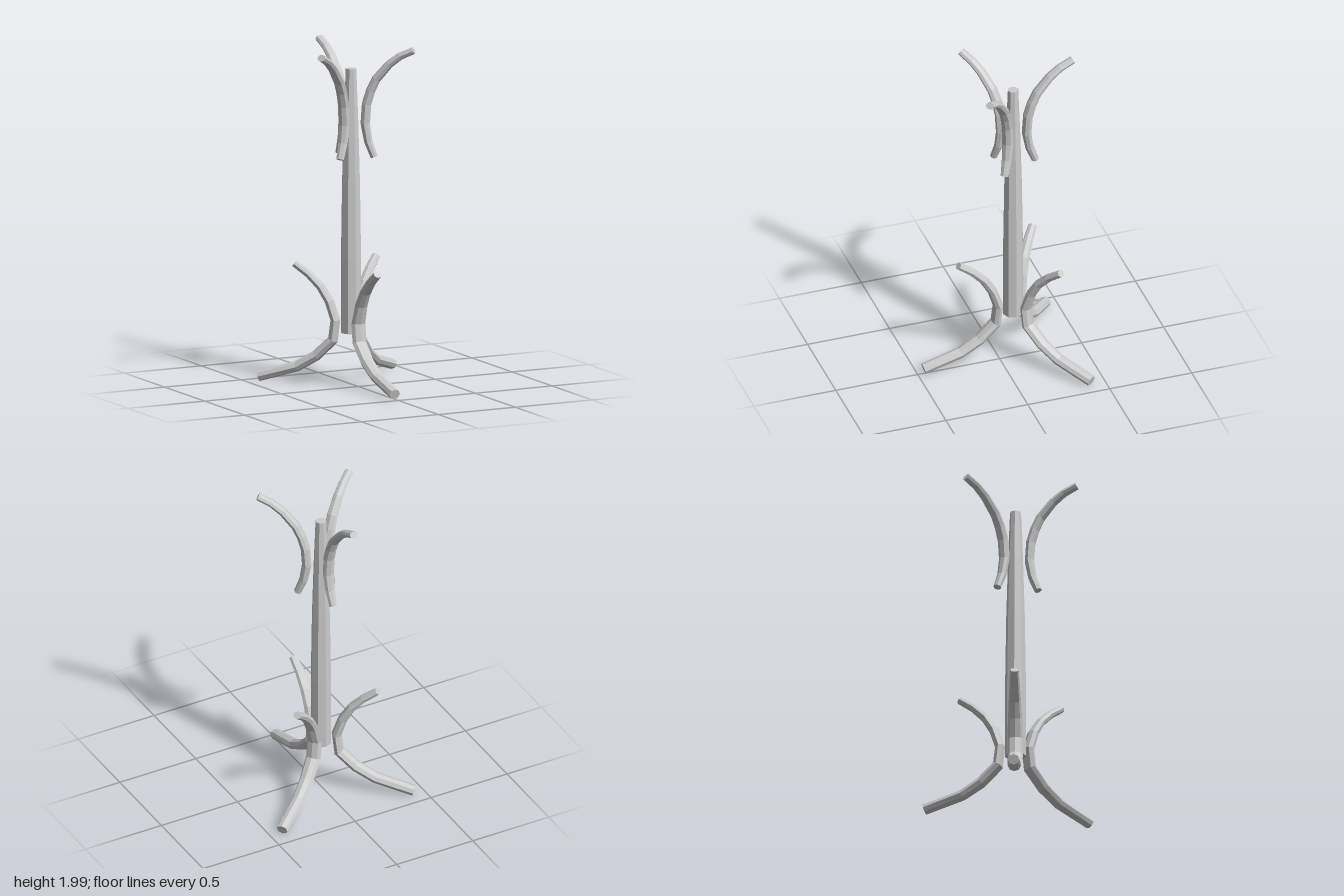
import * as THREE from 'three';

const SIDES = 8;
const material = new THREE.MeshStandardMaterial({ color: 0xcccccc, flatShading: true, side: THREE.DoubleSide });

// Bent bar lofted along +z; each station is [z, y, half width, half thickness]
function bentBar(stations) {
  const positions = [], index = [];
  const last = stations.length - 1;
  stations.forEach(([z, y, width, thick], i) => {
    const a = stations[Math.max(i - 1, 0)], b = stations[Math.min(i + 1, last)];
    const length = Math.hypot(b[0] - a[0], b[1] - a[1]);
    const nz = (b[1] - a[1]) / length, ny = -(b[0] - a[0]) / length;
    for (let k = 0; k < SIDES; k++) {
      const t = (k / SIDES) * Math.PI * 2;
      const out = Math.sin(t) * thick;
      positions.push(Math.cos(t) * width, y + ny * out, z + nz * out);
    }
  });
  for (let i = 0; i < last; i++) {
    for (let k = 0; k < SIDES; k++) {
      const a = i * SIDES + k, b = i * SIDES + (k + 1) % SIDES;
      index.push(a, a + SIDES, b, b, a + SIDES, b + SIDES);
    }
  }
  // End caps
  for (let k = 1; k < SIDES - 1; k++) {
    const e = last * SIDES;
    index.push(0, k, k + 1, e, e + k + 1, e + k);
  }
  // Reverse the winding so every face points outwards
  for (let i = 0; i < index.length; i += 3) [index[i + 1], index[i + 2]] = [index[i + 2], index[i + 1]];
  const geometry = new THREE.BufferGeometry();
  geometry.setAttribute('position', new THREE.Float32BufferAttribute(positions, 3));
  geometry.setIndex(index);
  geometry.computeVertexNormals();
  return geometry;
}

export function createModel() {
  const rack = new THREE.Group();
  rack.name = 'coatRack';
  rack.position.set(-0.004, 0, -0.083);

  // Tapered octagonal pole
  const profile = [[0, 0.31], [0.061, 0.31], [0.061, 0.75], [0.054, 1.2], [0.044, 1.55], [0.032, 1.86], [0, 1.86]]
    .map(([r, y]) => new THREE.Vector2(r, y));
  const pole = new THREE.Mesh(new THREE.LatheGeometry(profile, SIDES), material);
  pole.name = 'pole';
  rack.add(pole);

  // Legs: splayed foot, bend against the pole, upper prong
  const legGeometry = bentBar([
    [0.545, 0.036, 0.034, 0.031],
    [0.320, 0.100, 0.038, 0.031],
    [0.205, 0.168, 0.042, 0.031],
    [0.106, 0.265, 0.045, 0.031],
    [0.092, 0.380, 0.045, 0.029],
    [0.128, 0.490, 0.041, 0.028],
    [0.180, 0.575, 0.036, 0.026],
    [0.250, 0.645, 0.030, 0.024],
    [0.333, 0.705, 0.025, 0.022],
  ]);
  [0, 127, -129].forEach((angle, i) => {
    const leg = new THREE.Mesh(legGeometry, material);
    leg.name = ['frontLeg', 'backLeftLeg', 'backRightLeg'][i];
    leg.rotation.y = THREE.MathUtils.degToRad(angle);
    rack.add(leg);
  });

  // Coat hooks at the top
  const hookGeometry = bentBar([
    [0.137, 1.346, 0.024, 0.022],
    [0.102, 1.435, 0.030, 0.025],
    [0.084, 1.540, 0.035, 0.028],
    [0.092, 1.655, 0.036, 0.028],
    [0.116, 1.735, 0.035, 0.027],
    [0.150, 1.805, 0.033, 0.026],
    [0.227, 1.895, 0.030, 0.024],
    [0.290, 1.943, 0.028, 0.022],
    [0.370, 1.980, 0.026, 0.021],
  ]);
  [182, 50, -55].forEach((angle, i) => {
    const hook = new THREE.Mesh(hookGeometry, material);
    hook.name = ['backHook', 'frontLeftHook', 'frontRightHook'][i];
    hook.rotation.y = THREE.MathUtils.degToRad(angle);
    rack.add(hook);
  });

  const model = new THREE.Group();
  model.add(rack);
  return model;
}
